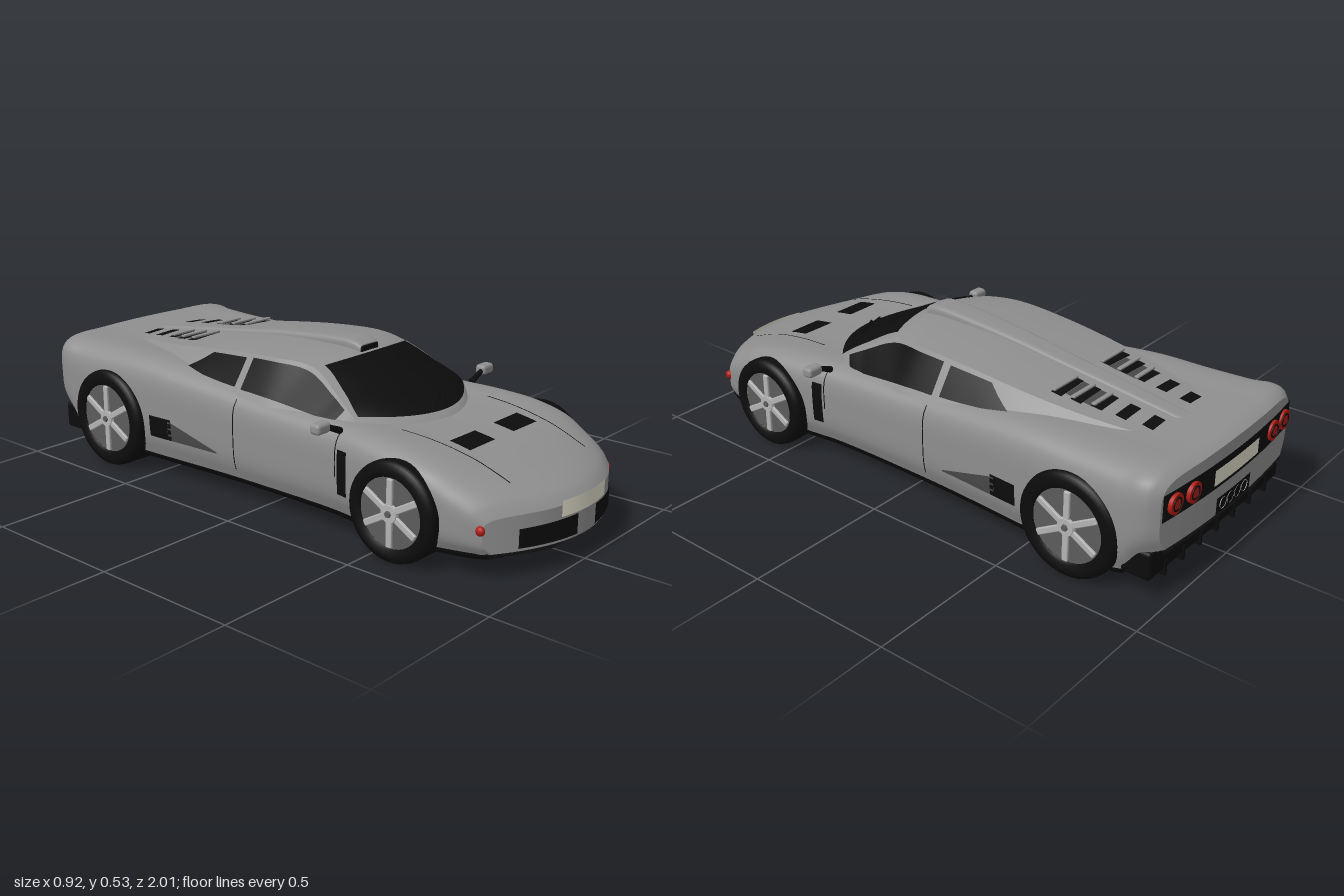
import * as THREE from 'three';
import { RoundedBoxGeometry } from 'three/addons/geometries/RoundedBoxGeometry.js';

const paint = (name, color, side = THREE.DoubleSide) => new THREE.MeshStandardMaterial({ name, color, side });
const M = {
  body: paint('body grey', 0x8f8f8f), black: paint('black', 0x0c0c0c), dark: paint('dark grey', 0x484848),
  rim: paint('rim grey', 0x5c5c5c), silver: paint('silver', 0xb4b4b4), red: paint('lamp red', 0xb01c14),
  plate: paint('plate cream', 0xe2decb),
};

// Lower body stations: z, half width, bottom, shoulder height, centre height, bow of the section in plan
const LOWER = [
  [-1.0, 0.375, 0.18, 0.398, 0.408, -0.17], [-0.975, 0.398, 0.175, 0.415, 0.419, -0.15],
  [-0.92, 0.408, 0.14, 0.42, 0.42, -0.08], [-0.86, 0.406, 0.08, 0.414, 0.415, 0],
  [-0.7, 0.399, 0.075, 0.41, 0.41, 0], [-0.5, 0.392, 0.075, 0.408, 0.405, 0], [-0.2, 0.372, 0.075, 0.38, 0.38, 0],
  [0, 0.366, 0.075, 0.362, 0.36, 0], [0.3, 0.367, 0.075, 0.35, 0.345, 0], [0.45, 0.385, 0.075, 0.345, 0.337, 0],
  [0.6, 0.392, 0.075, 0.335, 0.328, 0.12], [0.75, 0.393, 0.075, 0.308, 0.304, 0.4],
  [0.88, 0.382, 0.078, 0.268, 0.265, 0.85], [0.95, 0.367, 0.08, 0.237, 0.236, 1.03],
  [0.98, 0.357, 0.082, 0.215, 0.218, 1.08], [0.995, 0.345, 0.085, 0.194, 0.2, 1.1],
];
// Cabin stations: z, base half width, base height, roof half width, roof edge height, centre height, bow
const CABIN = [
  [-0.95, 0.12, 0.37, 0.1, 0.38, 0.385, 0], [-0.8, 0.19, 0.385, 0.165, 0.405, 0.413, 0],
  [-0.6, 0.25, 0.385, 0.215, 0.428, 0.437, 0], [-0.4, 0.31, 0.38, 0.243, 0.452, 0.463, 0],
  [-0.2, 0.335, 0.36, 0.252, 0.474, 0.49, 0], [0, 0.34, 0.35, 0.252, 0.485, 0.502, 0.15],
  [0.17, 0.335, 0.34, 0.232, 0.475, 0.494, 0.8], [0.33, 0.32, 0.335, 0.257, 0.418, 0.424, 1.3],
  [0.48, 0.3, 0.33, 0.28, 0.36, 0.348, 1.8], [0.52, 0.27, 0.3, 0.26, 0.31, 0.31, 1.8],
];

// Smooth interpolation of a station table
function station(tab, z) {
  let i = 0;
  while (i < tab.length - 2 && z > tab[i + 1][0]) i++;
  const a = tab[i], b = tab[i + 1], h = b[0] - a[0], t = (z - a[0]) / h;
  const slope = (j, c) => {
    const p = tab[Math.max(j - 1, 0)], q = tab[Math.min(j + 1, tab.length - 1)];
    return (q[c] - p[c]) / (q[0] - p[0]);
  };
  return a.map((v, c) => c === 0 ? z : v * (1 + 2 * t) * (1 - t) ** 2 + b[c] * t * t * (3 - 2 * t)
    + h * (slope(i, c) * t * (1 - t) ** 2 - slope(i + 1, c) * t * t * (1 - t)));
}

// Grid surface from a rule f(u, v) -> [x, y, z]
function sheet(f, nu, nv) {
  const pos = [], idx = [];
  for (let i = 0; i <= nu; i++) for (let j = 0; j <= nv; j++) pos.push(...f(i / nu, j / nv));
  for (let i = 0; i < nu; i++) for (let j = 0; j < nv; j++) {
    const a = i * (nv + 1) + j, b = a + nv + 1;
    idx.push(a, b, a + 1, b, b + 1, a + 1);
  }
  const g = new THREE.BufferGeometry();
  g.setAttribute('position', new THREE.Float32BufferAttribute(pos, 3));
  g.setIndex(idx);
  g.computeVertexNormals();
  return g;
}
const mix = (a, b, t) => a + (b - a) * t;

// Half section of the lower body, from sill to centre line
const cache = new Map();
function section(s, n = 32) {
  if (cache.has(s)) return cache.get(s);
  const [, w, b, sh, c] = station(LOWER, s), h = sh - b;
  const pts = [[0.93 * w, b], [0.985 * w, b + 0.2 * h], [w, b + 0.5 * h], [0.992 * w, b + 0.8 * h],
    [0.95 * w, b + 0.92 * h], [0.84 * w, sh], [0.45 * w, mix(sh, c, 0.7)], [0, c]];
  const out = new THREE.CatmullRomCurve3(pts.map(p => new THREE.Vector3(p[0], p[1], 0))).getPoints(n);
  cache.set(s, out);
  return out;
}
const bow = (s, x) => s - station(LOWER, s)[5] * x * x;
// Side x at a height, and deck height at an x
function sideX(z, y) {
  const p = section(z);
  let i = 0;
  while (i < 30 && p[i + 1].y < y) i++;
  return mix(p[i].x, p[i + 1].x, (y - p[i].y) / (p[i + 1].y - p[i].y));
}
function deckY(x, z) {
  let s = z;
  for (let k = 0; k < 6; k++) s = z + station(LOWER, s)[5] * x * x;
  const p = section(s);
  let i = 31;
  while (i > 0 && p[i].x < Math.abs(x)) i--;
  return mix(p[i].y, p[i + 1].y, (Math.abs(x) - p[i].x) / (p[i + 1].x - p[i].x));
}
// Points on the cabin: roof by u in -1..1, side by fraction of height
function roof(s, u) {
  const [, , , r, e, c, k] = station(CABIN, s), x = u * r;
  return [x, mix(c, e, u * u), s - k * x * x];
}
function flank(s, f, sign) {
  const [, b, by, r, e, , k] = station(CABIN, s), x = mix(b, r, f);
  return [sign * x, mix(by, e, f), s - k * x * x];
}

export function createModel() {
  const car = new THREE.Group();
  car.name = 'sportsCar';
  const add = (name, geo, mat, x = 0, y = 0, z = 0, parent = car) => {
    const m = new THREE.Mesh(geo, mat);
    m.name = name;
    m.position.set(x, y, z);
    parent.add(m);
    return m;
  };

  // Lower body shell with nose and tail caps
  const full = (s, v) => {
    const i = Math.round(v * 64), p = section(s)[i <= 32 ? i : 64 - i], x = i <= 32 ? p.x : -p.x;
    return [x, p.y, bow(s, x)];
  };
  add('lowerBody', sheet((u, v) => full(mix(-1, 0.995, u), v), 100, 64), M.body);
  for (const [name, s] of [['nose', 0.995], ['tail', -1]]) add(name, sheet((u, v) => {
    const p = section(s)[Math.round(u * 32)], x = p.x * (2 * v - 1);
    return [x, p.y, bow(s, x)];
  }, 32, 24), M.body);
  // Black floor pan with a narrow sill
  add('floorPan', sheet((u, v) => {
    const s = mix(-1, 0.99, u), [, w, b] = station(LOWER, s), i = Math.round(v * 5);
    const x = [0.935, 0.925, 0.4, -0.4, -0.925, -0.935][i] * w;
    return [x, i % 5 ? b - 0.015 : b + 0.002, bow(s, x)];
  }, 60, 5), M.black);

  // Cabin roof, sides, windows
  add('cabinRoof', sheet((u, v) => roof(mix(-0.95, 0.52, u), 2 * v - 1), 90, 20), M.body);
  add('windscreen', sheet((u, v) => {
    const p = roof(mix(0.185, 0.475, u), (2 * v - 1) * mix(0.88, 0.97, u));
    return [p[0], p[1] + 0.005, p[2] + 0.003];
  }, 24, 20), M.black);
  for (const sign of [1, -1]) {
    const pane = (name, s0, s1, lo, hi) => add(name, sheet((u, v) => {
      const s = mix(s0, s1, u), p = flank(s, mix(lo, hi(s), v), sign);
      return [p[0] + sign * 0.004, p[1] + 0.003, p[2]];
    }, 24, 6), M.black);
    add('cabinSide', sheet((u, v) => flank(mix(-0.95, 0.52, u), v, sign), 90, 6), M.body);
    pane('doorWindow', -0.1, 0.43, 0.16, () => 0.9);
    pane('rearQuarterWindow', -0.39, -0.13, 0.18, s => Math.min(0.88, 0.2 + (s + 0.39) * 7));
  }
  for (const [x, a] of [[0.0, 0.16], [-0.14, 0.12]]) {
    const tip = roof(0.4, x + 0.6), base = roof(0.47, x);
    const path = new THREE.LineCurve3(new THREE.Vector3(base[0], base[1] + 0.01, base[2]),
      new THREE.Vector3(tip[0], tip[1] + 0.012, tip[2]));
    add('wiper', new THREE.TubeGeometry(path, 1, 0.004, 5), M.black);
  }

  // Roof scoop running back as a spine: z, half width, top height
  const SPINE = [[-0.87, 0.03, 0.408], [-0.6, 0.035, 0.447], [-0.4, 0.04, 0.475], [-0.2, 0.045, 0.504],
    [0, 0.05, 0.524], [0.1, 0.052, 0.53], [0.14, 0.051, 0.526], [0.165, 0.047, 0.515]];
  const spine = (s, v) => {
    const [, w, t] = station(SPINE, s), a = Math.PI * v;
    const c = Math.cos(a), n = Math.sin(a);
    return [w * Math.sign(c) * Math.abs(c) ** 0.35, t - 0.04 + 0.04 * n ** 0.35, s];
  };
  add('roofScoop', sheet((u, v) => spine(mix(-0.87, 0.165, u), v), 50, 24), M.body);
  add('scoopMouth', new RoundedBoxGeometry(0.084, 0.024, 0.008, 2, 0.003), M.black, 0, 0.5, 0.165);
  add('scoopFront', sheet((u, v) => { const p = spine(0.165, v); return [p[0] * u, mix(0.48, p[1], u), 0.165]; }, 1, 24), M.body);

  for (const sign of [1, -1]) {
    // Engine cover louvres
    const onRoof = (x, z) => roof(z, x / station(CABIN, z)[3])[1];
    const louvre = (name, z0, z1, x1, lift, mat) => add(name, sheet((u, v) => {
      const x = mix(0.07, x1, v), z = mix(z0, z1, u);
      return [sign * x, onRoof(x, z) + lift, z];
    }, 2, 6), mat);
    louvre('louvrePanel', -0.6, -0.5, 0.165, 0.003, M.dark);
    [[-0.775, 0.14], [-0.69, 0.155], [-0.61, 0.165], [-0.545, 0.18], [-0.48, 0.19]].forEach(([z, x], i) => {
      louvre('louvreSlot', z - 0.021, z + 0.017, x, 0.005, M.black);
      if (i > 1) add('louvreSlat', new RoundedBoxGeometry(x - 0.066, 0.008, 0.016, 1, 0.003), M.body,
        sign * (x + 0.07) / 2, onRoof(0.12, z) + 0.012, z + 0.008);
    });

    // Bonnet vents and seams
    const deck = (name, z0, z1, xa, xb, wide, n) => add(name, sheet((u, v) => {
      const z = mix(z0, z1, u), x = mix(xa, xb, u) + v * wide;
      return [sign * x, deckY(x, z) + 0.004, z];
    }, n, 4), M.black);
    deck('bonnetVent', 0.625, 0.7, 0.05, 0.05, 0.13, 6);
    deck('bonnetSeam', 0.48, 0.86, 0.225, 0.205, 0.004, 24);

    // Side vents, scoop and door seams
    const side = (name, z0, z1, lo, hi, mat) => add(name, sheet((u, v) => {
      const z = mix(z0, z1, u), y = mix(lo(u), hi(u), v);
      return [sign * (sideX(z, y) + 0.004), y, z];
    }, 10, 10), mat);
    const k = y => () => y;
    side('fenderVent', 0.35, 0.39, k(0.145), k(0.29), M.black);
    side('sideScoop', -0.18, -0.4, k(0.15), u => mix(0.155, 0.22, u), M.dark);
    side('sideScoopMouth', -0.385, -0.485, k(0.15), k(0.225), M.black);
    side('doorSeam', -0.098, -0.102, k(0.11), k(0.35), M.black);
    side('doorSeam', 0.338, 0.342, k(0.2), k(0.34), M.black);

    // Front grille and side marker
    add('frontGrille', sheet((u, v) => {
      const x = mix(0.05, 0.255, u);
      return [sign * x, mix(0.095, mix(0.16, 0.155, u), v), bow(0.995, x) + 0.005];
    }, 10, 2), M.black);
    const marker = add('sideMarker', new THREE.SphereGeometry(0.015, 14, 10), M.red, sign * 0.35, 0.16, 0.86);
    marker.scale.x = 0.8;

    // Door mirror
    add('mirror', new RoundedBoxGeometry(0.06, 0.035, 0.04, 3, 0.012), M.body, sign * 0.428, 0.368, 0.33);
    const stalk = add('mirrorStalk', new THREE.CylinderGeometry(0.008, 0.011, 0.08, 8), M.black, sign * 0.378, 0.355, 0.335);
    stalk.rotation.z = sign * -1.15;

    // Twin tail lamps
    for (const x of [0.235, 0.32]) {
      const z = bow(-1, x) - 0.007;
      const lamp = add('tailLamp', new THREE.CylinderGeometry(0.033, 0.033, 0.012, 24), M.red, sign * x, 0.325, z);
      const ring = add('tailLampRing', new THREE.TorusGeometry(0.02, 0.003, 6, 24), M.black, sign * x, 0.325, z - 0.006);
      lamp.rotation.x = Math.PI / 2;
      ring.rotation.y = Math.PI;
    }

    // Wheels
    for (const [name, z, r] of [['frontWheel', 0.585, 0.158], ['rearWheel', -0.69, 0.173]]) {
      const w = new THREE.Group();
      w.name = name;
      w.position.set(sign * 0.342, r, z);
      w.rotation.z = sign * -Math.PI / 2;
      car.add(w);
      const q = 0.7 * r;
      const tyre = [[q, -0.07], [r - 0.02, -0.078], [r - 0.004, -0.07], [r, -0.055], [r, 0.055], [r - 0.004, 0.07],
        [r - 0.02, 0.078], [q + 0.006, 0.077], [q, 0.068]].map(p => new THREE.Vector2(...p));
      add('tyre', new THREE.LatheGeometry(tyre, 48), M.black, 0, 0, 0, w);
      add('rimDisc', new THREE.CylinderGeometry(q, q, 0.135, 40), M.rim, 0, 0, 0, w);
      add('hub', new THREE.CylinderGeometry(0.028, 0.032, 0.012, 20), M.silver, 0, 0.072, 0, w);
      add('hubNut', new THREE.CylinderGeometry(0.01, 0.012, 0.008, 6), M.rim, 0, 0.08, 0, w);
      for (let i = 0; i < 6; i++) {
        const arm = new THREE.Group();
        arm.rotation.y = i * Math.PI / 3;
        w.add(arm);
        add('spoke', new RoundedBoxGeometry(q - 0.025, 0.012, 0.022, 1, 0.004), M.silver, (q + 0.02) / 2, 0.07, 0, arm);
      }
    }
  }

  // Number plates and tail panel
  const band = (name, s, out, x1, y0, y1, mat) => add(name, sheet((u, v) => {
    const x = mix(-x1, x1, u);
    return [x, mix(y0, y1, v), bow(s, x) + out];
  }, 16, 2), mat);
  band('frontPlate', 0.995, 0.005, 0.12, 0.165, 0.216, M.plate);
  band('tailPanel', -1, -0.004, 0.372, 0.28, 0.368, M.black);
  band('rearPlate', -1, -0.008, 0.13, 0.295, 0.348, M.plate);
  band('exhaustRecess', -1, -0.004, 0.1, 0.185, 0.24, M.black);
  for (const x of [-0.063, -0.021, 0.021, 0.063]) {
    const pipe = add('exhaustPipe', new THREE.CylinderGeometry(0.019, 0.019, 0.04, 18, 1, true), M.silver, x, 0.212, -0.985);
    const bore = add('exhaustBore', new THREE.CircleGeometry(0.018, 18), M.dark, x, 0.212, -1.001);
    pipe.rotation.x = Math.PI / 2;
    bore.rotation.y = Math.PI;
  }

  // Rear diffuser with fins
  add('diffuser', new RoundedBoxGeometry(0.77, 0.095, 0.1, 2, 0.012), M.black, 0, 0.128, -0.91);
  for (let i = 0; i < 7; i++)
    add('diffuserFin', new THREE.BoxGeometry(0.01, 0.05, 0.1), M.black, -0.3 + i * 0.1, 0.09, -0.915);

  return car;
}
